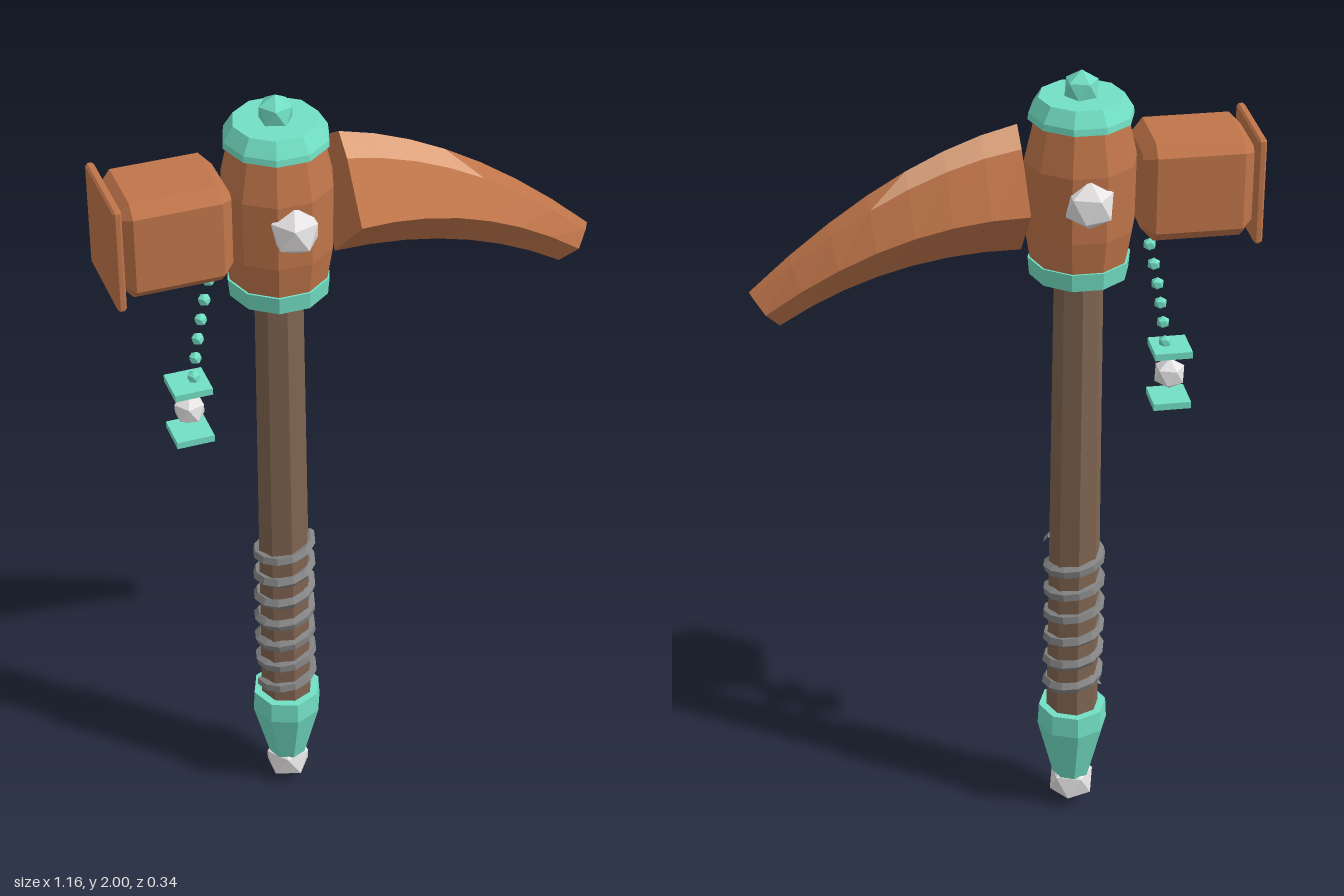
import * as THREE from 'three';

const AXIS = -0.18; // x of the handle axis

const material = (name, color) => {
  const m = new THREE.MeshStandardMaterial({ color });
  m.name = name;
  return m;
};

// Faceted normals for the low-poly look
function faceted(geometry) {
  const g = geometry.index ? geometry.toNonIndexed() : geometry;
  g.computeVertexNormals();
  return g;
}

// Turned solid from [radius, y] pairs, bottom to top
const turned = (profile, sides) => new THREE.LatheGeometry(
  profile.map(([r, y]) => new THREE.Vector2(r, y)), sides);

// Box of width x, height y and depth z with every edge cut by c
function chamferedBox(x, y, z, c) {
  const a = z / 2 - c, b = y / 2 - c, k = c * 0.414;
  const outline = [[a, b - k], [a - k, b], [k - a, b], [-a, b - k],
    [-a, k - b], [k - a, -b], [a - k, -b], [a, k - b]];
  return new THREE.ExtrudeGeometry(
    new THREE.Shape(outline.map((p) => new THREE.Vector2(...p))),
    { depth: x - 2 * c, bevelThickness: c, bevelSize: c, bevelSegments: 1 },
  ).translate(0, 0, c - x / 2).rotateY(Math.PI / 2);
}

// Right-handed spiral around the handle
class Spiral extends THREE.Curve {
  getPoint(t, target = new THREE.Vector3()) {
    const a = Math.PI / 2 + (t - 1) * Math.PI * 2 * 6.5;
    return target.set(0.063 * Math.sin(a), 0.335 + 0.44 * t, 0.063 * Math.cos(a));
  }
}

// Curved pick: six-sided sections between an upper and a lower curve.
// Group 0 is the body, group 1 the pale worn ridge fading out along the top.
function pickGeometry() {
  const v = (x, y) => new THREE.Vector2(x, y);
  const upper = new THREE.QuadraticBezierCurve(v(-0.035, 1.88), v(0.25, 1.82), v(0.58, 1.51));
  const lower = new THREE.QuadraticBezierCurve(v(-0.045, 1.57), v(0.26, 1.58), v(0.513, 1.42));
  // [height fraction, side fraction]
  const section = [[1, 0], [0.88, 0.35], [0.5, 1], [0, 0], [0.5, -1], [0.88, -0.35]];
  const n = section.length, steps = 7, fade = 3;
  const positions = [], body = [], ridge = [];
  for (let i = 0; i <= steps; i++) {
    const top = upper.getPoint(i / steps), bottom = lower.getPoint(i / steps);
    const half = 0.163 + (0.035 - 0.163) * (i / steps);
    for (const [h, s] of section) {
      const p = bottom.clone().lerp(top, h);
      positions.push(p.x, p.y, s * half);
    }
  }
  for (let i = 0; i < steps; i++) {
    for (let j = 0; j < n; j++) {
      const a = i * n + j, b = i * n + (j + 1) % n, c = a + n, d = b + n;
      const onTop = j === 0 || j === n - 1;
      const [first, second] = j === 0 ? [[a, b, d], [a, d, c]] : [[a, b, c], [b, d, c]];
      (onTop && i <= fade ? ridge : body).push(...first);
      (onTop && i < fade ? ridge : body).push(...second);
    }
  }
  const end = steps * n;
  for (let j = 1; j < n - 1; j++) {
    body.push(0, j + 1, j, end, end + j, end + j + 1);
  }
  const g = new THREE.BufferGeometry();
  g.setAttribute('position', new THREE.Float32BufferAttribute(positions, 3));
  g.setIndex([...body, ...ridge]);
  g.addGroup(0, body.length, 0);
  g.addGroup(body.length, ridge.length, 1);
  return g;
}

export function createModel() {
  const model = new THREE.Group();
  model.name = 'warHammer';
  const copper = material('copper', 0xc0754a);
  const paleCopper = material('paleCopper', 0xdca27c);
  const teal = material('teal', 0x72dfc4);
  const wood = material('wood', 0x806552);
  const cord = material('cord', 0x858484);
  const stone = material('stone', 0xe6e4e4);

  const add = (name, geometry, mat, x = AXIS, y = 0, z = 0) => {
    const mesh = new THREE.Mesh(faceted(geometry), mat);
    mesh.name = name;
    mesh.position.set(x, y, z);
    model.add(mesh);
  };
  // Twenty-sided gem with one corner pointing straight up
  const tilt = Math.atan(2 / (1 + Math.sqrt(5)));
  const gem = (name, r, mat, x, y, z = 0) =>
    add(name, new THREE.IcosahedronGeometry(r).rotateZ(tilt), mat, x, y, z);

  // Handle, cord and pommel
  add('handle', turned([[0, 0.2], [0.066, 0.2], [0.058, 1.56], [0, 1.56]], 8), wood);
  add('cordWrap', new THREE.TubeGeometry(new Spiral(), 78, 0.015, 5, false), cord);
  add('pommel', turned([[0, 0.09], [0.048, 0.09], [0.088, 0.245], [0.085, 0.3], [0, 0.3]], 8), teal);
  gem('pommelStone', 0.061, stone, AXIS, 0.061);

  // Head barrel with its collars
  const ten = (profile) => turned(profile, 10).rotateY(Math.PI / 2);
  add('headBarrel', ten([[0, 1.52], [0.11, 1.52], [0.128, 1.63], [0.13, 1.79], [0.105, 1.9], [0, 1.9]]), copper);
  add('lowerCollar', ten([[0, 1.507], [0.116, 1.507], [0.12, 1.55], [0, 1.55]]), teal);
  add('topCap', ten([[0, 1.89], [0.122, 1.89], [0.12, 1.905], [0.098, 1.94], [0, 1.94]]), teal);
  gem('topStone', 0.043, teal, AXIS, 1.957);
  for (const side of [1, -1]) {
    gem(side > 0 ? 'frontStone' : 'backStone', 0.06, stone, AXIS, 1.725, side * 0.118);
  }

  // Hammer block and striking plate
  add('hammerBlock', chamferedBox(0.257, 0.24, 0.206, 0.028), copper, -0.437, 1.725);
  add('strikingPlate', chamferedBox(0.02, 0.256, 0.222, 0.005), copper, -0.573, 1.723);

  // Pick
  add('pick', pickGeometry(), [copper, paleCopper], 0);

  // Hanging charm
  for (let i = 0; i < 6; i++) {
    const t = i / 5;
    gem('chainBead', 0.016, teal, -0.345 - 0.06 * t + 0.016 * t * t, 1.56 - 0.255 * t);
  }
  for (const y of [1.286, 1.153]) {
    add('charmPlate', new THREE.BoxGeometry(0.09, 0.017, 0.09), teal, -0.402, y);
  }
  gem('charmStone', 0.04, stone, -0.402, 1.219);

  return model;
}
